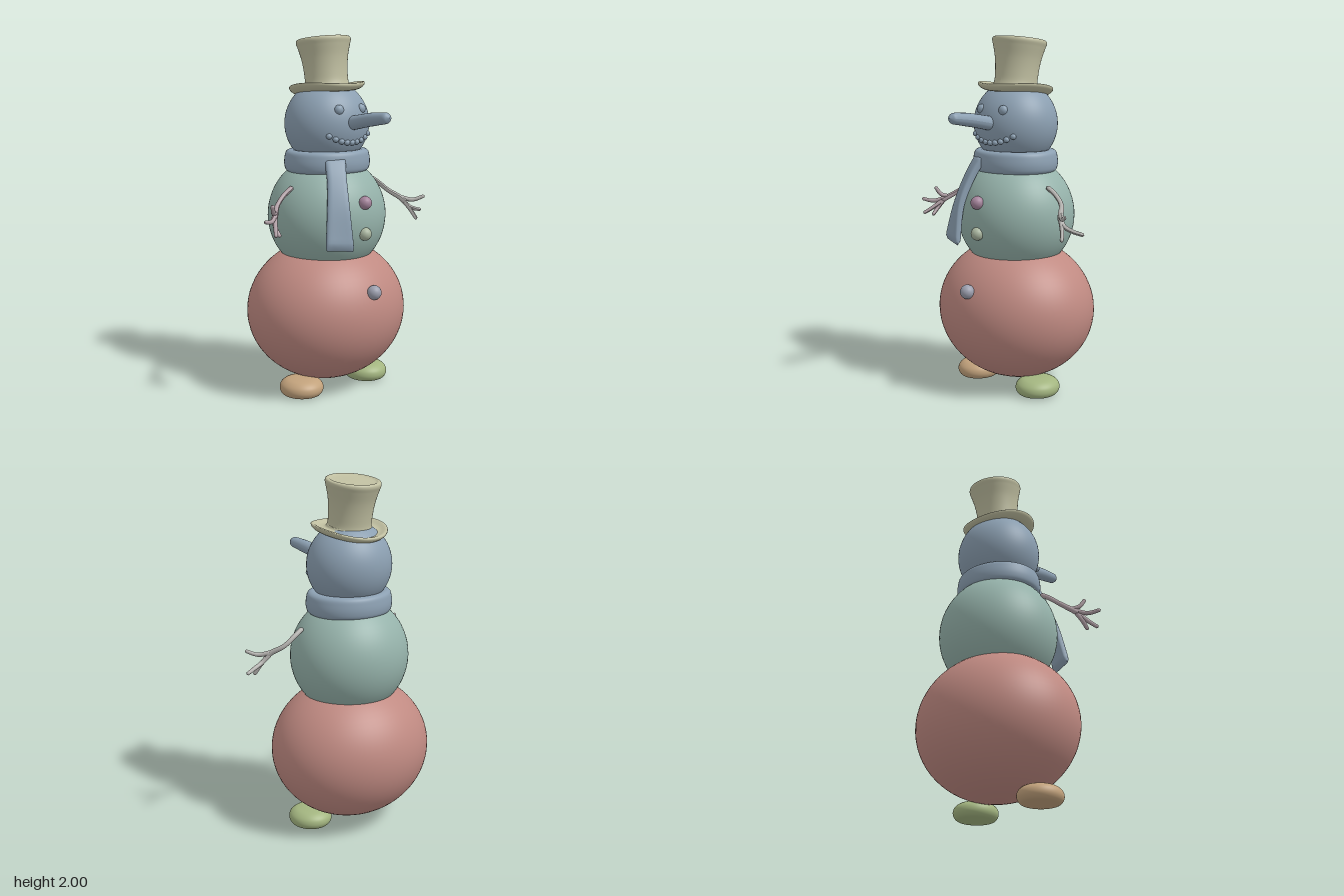
import * as THREE from 'three';

const V = (p) => new THREE.Vector3(...p);

export function createModel() {
  const model = new THREE.Group();
  model.name = 'snowman';

  const add = (name, geometry, color, parent = model) => {
    const mesh = new THREE.Mesh(geometry, new THREE.MeshStandardMaterial({ color }));
    mesh.name = name;
    parent.add(mesh);
    return mesh;
  };

  const ball = (name, center, radii, color, parent, detail = 48) => {
    const mesh = add(name, new THREE.SphereGeometry(1, detail, detail / 2), color, parent);
    mesh.position.set(...center);
    mesh.scale.set(...radii);
    return mesh;
  };

  // Smooth lathe through a few profile points
  const turned = (points, smooth = 40) => {
    const curve = new THREE.CatmullRomCurve3(points.map(([r, y]) => new THREE.Vector3(r, y, 0)), false, 'centripetal');
    const profile = curve.getPoints(smooth).map((p) => new THREE.Vector2(Math.max(0, p.x), p.y));
    return new THREE.LatheGeometry(profile, 64);
  };

  // Tube with rounded ends whose thickness follows a list of radii
  const limb = (points, radii, sides = 12, steps = 28) => {
    const curve = new THREE.CatmullRomCurve3(points.map(V));
    const geometry = new THREE.TubeGeometry(curve, steps, 1, sides, false);
    const pos = geometry.attributes.position;
    const p = new THREE.Vector3();
    for (let i = 0; i <= steps; i++) {
      const t = i / steps;
      const f = t * (radii.length - 1);
      const k = Math.min(Math.floor(f), radii.length - 2);
      let r = THREE.MathUtils.lerp(radii[k], radii[k + 1], f - k);
      const cap = r / curve.getLength();
      const end = Math.min(t, 1 - t);
      if (end < cap) r *= Math.sqrt(Math.max(0, 1 - (1 - end / cap) ** 2));
      const c = curve.getPointAt(t);
      for (let j = 0; j <= sides; j++) {
        const n = i * (sides + 1) + j;
        p.fromBufferAttribute(pos, n).sub(c).multiplyScalar(r).add(c);
        pos.setXYZ(n, p.x, p.y, p.z);
      }
    }
    geometry.computeVertexNormals();
    return geometry;
  };

  const red = 0xc08a82, teal = 0x96b3ab, blue = 0x8ca0b2, cream = 0xbfbea0;

  // Snowballs
  ball('lowerBody', [-0.022, 0.455, -0.045], [0.467, 0.405, 0.425], red, model, 72);
  ball('middleBody', [-0.02, 1.0, -0.04], [0.34, 0.34, 0.325], teal, model, 64);

  const head = new THREE.Group();
  head.name = 'head';
  model.add(head);
  const hc = [-0.02, 1.515, -0.038], hr = [0.243, 0.24, 0.228];
  ball('headBall', hc, hr, blue, head, 64);

  // Eyes and mouth sit on the front surface of the head
  const onHead = (x, y) => hc[2] + hr[2] * Math.sqrt(1 - ((x - hc[0]) / hr[0]) ** 2 - ((y - hc[1]) / hr[1]) ** 2);
  for (const side of [-1, 1]) {
    const x = -0.012 + side * 0.08;
    ball('eye', [x, 1.6, onHead(x, 1.6) - 0.008], [0.028, 0.028, 0.024], blue, head, 20);
  }
  for (let i = -4; i <= 4; i++) {
    const x = -0.012 + i * 0.035, y = 1.42 + 0.0025 * i * i;
    ball('mouthPebble', [x, y, onHead(x, y)], [0.018, 0.016, 0.016], blue, head, 16);
  }
  add('nose', limb(
    [[-0.012, 1.52, 0.12], [-0.012, 1.532, 0.2], [-0.012, 1.555, 0.33], [-0.01, 1.572, 0.47]],
    [0.04, 0.038, 0.036, 0.029], 20, 40), blue, head);

  // Scarf band around the neck
  const band = add('scarfBand', turned([
    [0.14, 1.255], [0.215, 1.247], [0.24, 1.26], [0.249, 1.29], [0.247, 1.33],
    [0.238, 1.36], [0.215, 1.372], [0.14, 1.36]]), blue, head);
  band.position.set(-0.02, 0, -0.036);
  band.scale.z = 0.91;
  band.material.side = THREE.DoubleSide;

  // Hanging scarf end: rounded flat cross-sections between two edge curves
  const edgeA = new THREE.CatmullRomCurve3([[-0.165, 1.335, 0.12], [-0.19, 1.23, 0.175], [-0.23, 1.07, 0.225], [-0.27, 0.865, 0.265]].map(V));
  const edgeB = new THREE.CatmullRomCurve3([[-0.06, 1.335, 0.17], [-0.095, 1.23, 0.225], [-0.122, 1.08, 0.285], [-0.12, 0.85, 0.318]].map(V));
  const rows = 30, around = 24, verts = [], faces = [];
  for (let i = 0; i <= rows; i++) {
    const t = i / rows;
    const a = edgeA.getPoint(t), b = edgeB.getPoint(t);
    const across = b.clone().sub(a).multiplyScalar(0.5);
    const mid = a.clone().add(b).multiplyScalar(0.5);
    const down = edgeA.getTangent(t).add(edgeB.getTangent(t));
    const out = down.clone().cross(across).normalize();
    const capped = i === 0 || i === rows ? 0.01 : i === 1 || i === rows - 1 ? 0.85 : 1;
    for (let j = 0; j < around; j++) {
      const q = (j / around) * Math.PI * 2, c = Math.cos(q), s = Math.sin(q);
      const u = Math.sign(c) * Math.abs(c) ** 0.5, w = Math.sign(s) * Math.abs(s) ** 0.5;
      const p = mid.clone().addScaledVector(across, u * (capped < 0.1 ? 0.94 : 1)).addScaledVector(out, w * 0.022 * capped);
      verts.push(p.x, p.y, p.z);
      if (i < rows) {
        const k = i * around + j, l = i * around + (j + 1) % around;
        faces.push(k, k + around, l, l, k + around, l + around);
      }
    }
  }
  const tail = new THREE.BufferGeometry();
  tail.setAttribute('position', new THREE.Float32BufferAttribute(verts, 3));
  tail.setIndex(faces);
  tail.computeVertexNormals();
  add('scarfTail', tail, blue, head).material.side = THREE.DoubleSide;

  // Top hat, tilted back, with the brim curling up at the sides
  const hat = turned([
    [0, -0.025], [0.12, -0.025], [0.185, -0.018], [0.208, 0.0], [0.21, 0.012], [0.2, 0.016], [0.165, 0.004],
    [0.132, 0.008], [0.122, 0.03], [0.121, 0.09], [0.13, 0.17], [0.146, 0.235], [0.153, 0.262],
    [0.149, 0.275], [0.135, 0.279], [0.12, 0.273], [0, 0.273]], 110);
  const hp = hat.attributes.position;
  for (let i = 0; i < hp.count; i++) {
    const x = hp.getX(i), z = hp.getZ(i);
    if (hp.getY(i) < 0.025) hp.setY(i, hp.getY(i) + 0.45 * (x * x - 0.3 * z * z));
  }
  hat.computeVertexNormals();
  const hatMesh = add('topHat', hat, cream);
  hatMesh.position.set(-0.02, 1.705, -0.035);
  hatMesh.rotation.x = -0.13;

  // Buttons down the front
  [[1.1, 0.277, 0.037, 0xa5849c], [0.928, 0.277, 0.037, 0xa9b59f], [0.615, 0.357, 0.04, 0x9c9fae]].forEach(
    ([y, z, r, color]) => ball('button', [-0.007, y, z], [r, r, r], color, model, 24));

  // Flat-bottomed feet
  [['leftFoot', 0.217, 0xa3b580], ['rightFoot', -0.258, 0xc2a27c]].forEach(([name, x, color]) => {
    const foot = add(name, turned([
      [0, 0.005], [0.08, 0.002], [0.105, 0.01], [0.12, 0.035], [0.116, 0.065], [0.09, 0.09], [0.05, 0.1], [0, 0.102]]), color);
    foot.position.set(x, 0, 0.028);
    foot.scale.z = 1.06;
  });

  // Twig arms: first path is the arm, the rest are fingers
  const twigs = (name, color, paths) => {
    const arm = new THREE.Group();
    arm.name = name;
    model.add(arm);
    paths.forEach((path, i) => add(i ? 'twigFinger' : 'twigArm',
      limb(path, i ? [0.014, 0.012, 0.01] : [0.014, 0.013, 0.017], 10), color, arm));
  };
  twigs('leftArm', 0xb5b3b0, [
    [[0.265, 1.19, 0.015], [0.33, 1.15, 0.014], [0.385, 1.105, 0.03], [0.43, 1.065, 0.085], [0.455, 1.035, 0.115]],
    [[0.43, 1.06, 0.09], [0.475, 1.012, 0.11], [0.53, 0.99, 0.105], [0.595, 0.975, 0.085]],
    [[0.44, 1.05, 0.1], [0.475, 0.995, 0.125], [0.5, 0.935, 0.155]],
    [[0.43, 1.065, 0.085], [0.485, 1.052, 0.135], [0.54, 1.075, 0.178]]]);
  twigs('rightArm', 0xb09fa5, [
    [[-0.3, 1.185, 0.015], [-0.36, 1.145, 0.015], [-0.42, 1.095, 0.035], [-0.47, 1.055, 0.085], [-0.495, 1.035, 0.11]],
    [[-0.47, 1.055, 0.085], [-0.53, 1.035, 0.135], [-0.595, 1.045, 0.168]],
    [[-0.48, 1.045, 0.095], [-0.515, 1.0, 0.15], [-0.548, 0.965, 0.2]],
    [[-0.48, 1.045, 0.095], [-0.498, 1.0, 0.125], [-0.5, 0.955, 0.17]],
    [[-0.46, 1.06, 0.075], [-0.495, 1.075, 0.105], [-0.52, 1.12, 0.13]]]);

  return model;
}
